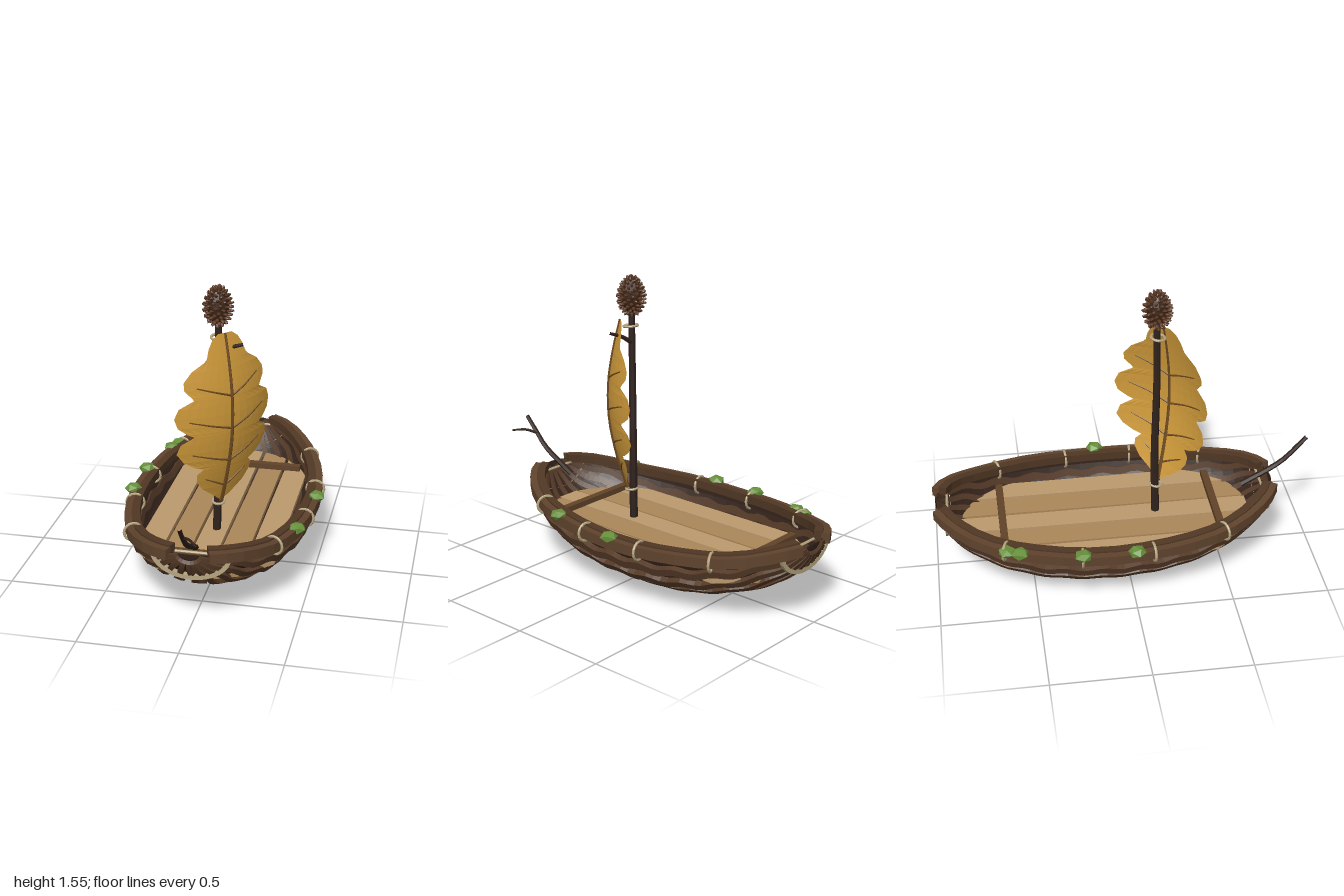
import * as THREE from 'three';
import { mergeGeometries } from 'three/addons/utils/BufferGeometryUtils.js';

const V = (x, y, z) => new THREE.Vector3(x, y, z);
const CZ = -0.1, HALF_LEN = 0.9;

const mat = (color, side = THREE.FrontSide) => new THREE.MeshStandardMaterial({ color, flatShading: true, side });
const M = {
  hull: mat(0x33221a, THREE.DoubleSide), rib: mat(0x553a27), rail: mat(0x5f432d), railIn: mat(0x503724),
  plankA: mat(0xbc9a6c), plankB: mat(0xac875a), beam: mat(0x614329), bark: mat(0x30221c), rope: mat(0xb5a580),
  leaf: mat(0xcf9a3a, THREE.DoubleSide), vein: mat(0x6e4a20), moss: mat(0x66903a), cone: mat(0x5a3722), coneCore: mat(0x3a2316),
};

function add(parent, name, geometry, material, pos) {
  const mesh = new THREE.Mesh(geometry, material);
  mesh.name = name;
  if (pos) mesh.position.copy(pos);
  parent.add(mesh);
  return mesh;
}

// Four-sided bar swept along frame(t) -> { p, a, b }, a and b being half-size vectors
function sweepBar(frame, n) {
  const pos = [], idx = [];
  for (let i = 0; i <= n; i++) {
    const { p, a, b } = frame(i / n);
    const ahead = frame(Math.min(1, (i + 0.5) / n)).p, behind = frame(Math.max(0, (i - 0.5) / n)).p;
    if (a.clone().cross(b).dot(ahead.sub(behind)) < 0) a.negate();
    for (const [s, r] of [[1, 1], [-1, 1], [-1, -1], [1, -1]]) {
      const c = p.clone().addScaledVector(a, s).addScaledVector(b, r);
      pos.push(c.x, c.y, c.z);
    }
    if (i < n) for (let j = 0; j < 4; j++) {
      const q = i * 4 + j, r = i * 4 + (j + 1) % 4;
      idx.push(q, r, r + 4, q, r + 4, q + 4);
    }
  }
  const e = n * 4;
  idx.push(0, 2, 1, 0, 3, 2, e, e + 1, e + 2, e, e + 2, e + 3);
  return indexed(pos, idx);
}

function indexed(pos, idx) {
  const g = new THREE.BufferGeometry();
  g.setAttribute('position', new THREE.Float32BufferAttribute(pos, 3));
  g.setIndex(idx);
  g.computeVertexNormals();
  return g;
}

// Regular grid surface from f(u, v)
function surface(f, nu, nv) {
  const pos = [], idx = [];
  for (let i = 0; i <= nu; i++) for (let j = 0; j <= nv; j++) {
    const p = f(i / nu, j / nv);
    pos.push(p.x, p.y, p.z);
    if (i < nu && j < nv) {
      const a = i * (nv + 1) + j, b = a + nv + 1;
      idx.push(a, b, a + 1, b, b + 1, a + 1);
    }
  }
  return indexed(pos, idx);
}

// Round twig with tapering radius
function twig(points, r0, r1, sides = 6, seg = 8) {
  const curve = new THREE.CatmullRomCurve3(points);
  const g = new THREE.TubeGeometry(curve, seg, 1, sides, false), P = g.attributes.position;
  for (let i = 0; i < P.count; i++) {
    const t = Math.floor(i / (sides + 1)) / seg, c = curve.getPointAt(t);
    const v = V().fromBufferAttribute(P, i).sub(c).multiplyScalar(r0 + (r1 - r0) * t).add(c);
    P.setXYZ(i, v.x, v.y, v.z);
  }
  return g;
}

// Hull: phi runs from stern (0) to bow (PI), ang from the keel (0) to the rim (+-PI/2)
const rimY = u => 0.325 + 0.09 * Math.abs(u) ** 3;
function hullPoint(phi, ang, out = 0) {
  const u = -Math.cos(phi), s = Math.sin(phi);
  return V((0.45 * s + out) * Math.sin(ang), rimY(u) - (0.285 * s + out) * Math.cos(ang), CZ + HALF_LEN * u * 0.985);
}

function buildHull(boat) {
  add(boat, 'hullShell', surface((t, v) => hullPoint(t * Math.PI, (v - 0.5) * Math.PI), 32, 20), M.hull);

  // Wavy lengthwise ribs
  for (let k = -4; k <= 4; k++) {
    const ang = k * Math.PI / 10;
    add(boat, 'hullRib', sweepBar(t => {
      const phi = 0.1 + t * (Math.PI - 0.2), s = Math.sin(phi);
      const wave = 0.009 * Math.sin(CZ - Math.cos(phi) * 29 + 0.7) * Math.min(1, s * 2);
      const out = V(Math.sin(ang), -Math.cos(ang), -Math.cos(phi) * 0.5).normalize();
      const side = V(Math.cos(ang), Math.sin(ang), 0);
      const p = hullPoint(phi, ang, 0.012).addScaledVector(side, wave);
      return { p, a: side.multiplyScalar(0.009 + 0.012 * s), b: out.multiplyScalar(0.012 + 0.008 * s) };
    }, 64), M.rib);
  }

  // Paired gunwale rails on each side
  const rail = (side, inset, dy, h) => sweepBar(t => {
    const phi = 0.21 + t * (Math.PI - 0.42), u = -Math.cos(phi), s = Math.sin(phi);
    const n = V(side * s / 0.475, 0, u / HALF_LEN).normalize();
    const p = V(side * 0.476 * s, rimY(u) + dy + 0.003 * Math.sin(t * 23), CZ + HALF_LEN * u);
    return { p: p.addScaledVector(n, -inset), a: n.multiplyScalar(0.021), b: V(0, h, 0) };
  }, 18);
  for (const side of [1, -1]) {
    add(boat, 'outerRail', rail(side, 0, 0, 0.026), M.rail);
    add(boat, 'innerRail', rail(side, 0.036, 0.012, 0.022), M.railIn);
    // Rope rings lashing the rails
    for (const z of [0.47, 0.09, -0.27, -0.65]) {
      const u = (z - CZ) / HALF_LEN, w = Math.sqrt(1 - u * u);
      const ring = add(boat, 'railLashing', new THREE.TorusGeometry(0.047, 0.007, 6, 16), M.rope, V(side * 0.458 * w, rimY(u) - 0.005, z));
      ring.rotation.y = -Math.atan2(u / HALF_LEN, side * w / 0.475);
    }
  }

  // Rope bindings around bow and stern
  for (const phi of [0.37, Math.PI - 0.37]) {
    const pts = [];
    for (let i = 0; i <= 12; i++) pts.push(hullPoint(phi, (i / 12 - 0.5) * 2.9, 0.03));
    const flat = sweepBar(t => {
      const ang = (t - 0.5) * Math.PI;
      return { p: hullPoint(phi, ang, 0.026), a: V(Math.sin(ang), -Math.cos(ang), 0).multiplyScalar(0.011), b: V(0, 0, 0.016) };
    }, 16);
    add(boat, 'endBinding', flat, M.rope);
    const top = hullPoint(phi, Math.PI / 2);
    const bar = add(boat, 'endCord', new THREE.CylinderGeometry(0.007, 0.007, top.x * 2, 6), M.rope, V(0, top.y, top.z));
    bar.rotation.z = Math.PI / 2;
  }
}

function buildDeck(boat) {
  // Planks cut to the hull outline
  const reach = x => 0.77 * Math.sqrt(1 - (x / 0.5) ** 2);
  const edges = [-0.36, -0.213, -0.072, 0.068, 0.215, 0.36];
  for (let i = 0; i < 5; i++) {
    const l = edges[i] + 0.006, r = edges[i + 1] - 0.006, a = reach(l), b = reach(r);
    const shape = new THREE.Shape([[l, -a], [r, -b], [r - 0.004, b], [l + 0.004, a]].map(p => new THREE.Vector2(...p)));
    const g = new THREE.ExtrudeGeometry(shape, { depth: 0.025, bevelEnabled: false }).rotateX(-Math.PI / 2);
    add(boat, 'deckPlank', g, i % 2 ? M.plankB : M.plankA, V(0, 0.225 - 0.002 * (i % 2), CZ));
  }
  add(boat, 'rearBeam', new THREE.BoxGeometry(0.62, 0.03, 0.038), M.beam, V(0, 0.264, -0.645));
  add(boat, 'frontBeam', new THREE.BoxGeometry(0.58, 0.03, 0.038), M.beam, V(0, 0.264, 0.485));
}

// Leaf sail: lobed outline as [height, half width]
const OUTLINE = [[0.43, 0.008], [0.47, 0.06], [0.52, 0.125], [0.57, 0.16], [0.61, 0.165], [0.64, 0.135], [0.655, 0.18],
  [0.69, 0.235], [0.74, 0.27], [0.79, 0.255], [0.83, 0.195], [0.845, 0.225], [0.88, 0.27], [0.93, 0.285], [0.98, 0.265],
  [1.02, 0.195], [1.035, 0.205], [1.07, 0.235], [1.11, 0.235], [1.16, 0.195], [1.2, 0.13], [1.215, 0.115], [1.26, 0.1], [1.3, 0.075], [1.325, 0.04]];
const MAST = V(0.01, 0, 0.165);
function leafPoint(y, a, lift = 0) {
  const t = (y - 0.43) / 0.9;
  const d = 0.03 + 0.03 * t + 0.08 * Math.sin(Math.PI * t) - 1.08 * a * a + lift;
  return V(MAST.x + 0.68 * a + 0.73 * d, y, MAST.z - 0.73 * a + 0.68 * d);
}

function buildSail(boat) {
  const sail = new THREE.Group();
  sail.name = 'leafSail';
  boat.add(sail);
  const rows = OUTLINE.length - 1;
  add(sail, 'leafBlade', surface((u, v) => {
    const [y, w] = OUTLINE[Math.round(u * rows)];
    return leafPoint(y, w * (v * 2 - 1));
  }, rows, 12), M.leaf);
  const spine = [0.42, 0.6, 0.8, 1, 1.18, 1.325].map(y => leafPoint(y, 0, 0.002));
  add(sail, 'midrib', twig(spine, 0.011, 0.006, 6, 16), M.vein);
  for (const [y, len] of [[0.52, 0.12], [0.67, 0.2], [0.85, 0.22], [1.02, 0.18]]) for (const s of [1, -1]) {
    const pts = [0, 0.5, 1].map(k => leafPoint(y + k * (0.07 + 0.01 * s), s * len * k, 0.001));
    add(sail, 'sideVein', twig(pts, 0.006, 0.003, 5, 6), M.vein);
  }
}

function buildMast(boat) {
  add(boat, 'mast', twig([V(0.004, 0.24, 0.168), V(0.012, 0.6, 0.162), V(0.008, 1, 0.168), V(0.014, 1.37, 0.166)], 0.022, 0.017, 7, 10), M.bark);
  add(boat, 'mastTwig', twig([V(0.01, 1.2, 0.165), V(0.07, 1.24, 0.18), V(0.145, 1.27, 0.2)], 0.013, 0.008), M.bark);
  for (const [y, r] of [[0.41, 0.03], [1.29, 0.036]]) {
    const ring = add(boat, 'mastLashing', new THREE.TorusGeometry(r, 0.007, 6, 14), M.rope, V(0.015, y, 0.172));
    ring.rotation.x = Math.PI / 2 + 0.12;
  }

  // Pine cone finial with spiralling scales
  const cone = new THREE.Group();
  cone.name = 'pineCone';
  cone.position.set(0.013, 1.445, 0.167);
  boat.add(cone);
  add(cone, 'coneCore', new THREE.SphereGeometry(0.055, 10, 8).scale(1, 1.65, 1), M.coneCore);
  const scales = [], N = 110;
  for (let i = 0; i < N; i++) {
    const h = 1 - 2 * (i + 0.5) / N, r = Math.sqrt(1 - h * h), a = i * 2.39996;
    const bulge = 0.064 * (h > 0 ? 1 - 0.2 * h : 1);
    const dir = V(Math.cos(a) * r, h * 0.6 + 0.25, Math.sin(a) * r).normalize();
    const g = new THREE.IcosahedronGeometry(1, 0).scale(0.011, 0.008, 0.018);
    g.applyQuaternion(new THREE.Quaternion().setFromUnitVectors(V(0, 0, 1), dir));
    scales.push(g.translate(Math.cos(a) * r * bulge, h * 0.095, Math.sin(a) * r * bulge));
  }
  add(cone, 'coneScales', mergeGeometries(scales), M.cone);
}

function buildDetails(boat) {
  // Forked bow branch
  add(boat, 'bowBranch', twig([V(0, 0.375, 0.63), V(0.002, 0.49, 0.83), V(0, 0.56, 0.9), V(0.003, 0.64, 0.97)], 0.016, 0.011, 6, 10), M.bark);
  add(boat, 'bowTwig', twig([V(0, 0.555, 0.89), V(0.045, 0.575, 0.945), V(0.09, 0.57, 1)], 0.009, 0.005), M.bark);
  // Moss tufts on the rails
  const tufts = [[-0.39, -0.645], [-0.415, -0.58], [-0.478, -0.27], [-0.482, 0], [0.482, -0.1], [0.438, 0.29]];
  tufts.forEach(([x, z], i) => {
    const m = add(boat, 'mossTuft', new THREE.IcosahedronGeometry(0.047, 0).scale(1, 0.62, 1), M.moss, V(x, 0.357, z));
    m.rotation.y = i * 1.3;
  });
}

export function createModel() {
  const boat = new THREE.Group();
  boat.name = 'leafBoat';
  [buildHull, buildDeck, buildSail, buildMast, buildDetails].forEach(build => build(boat));
  return boat;
}
